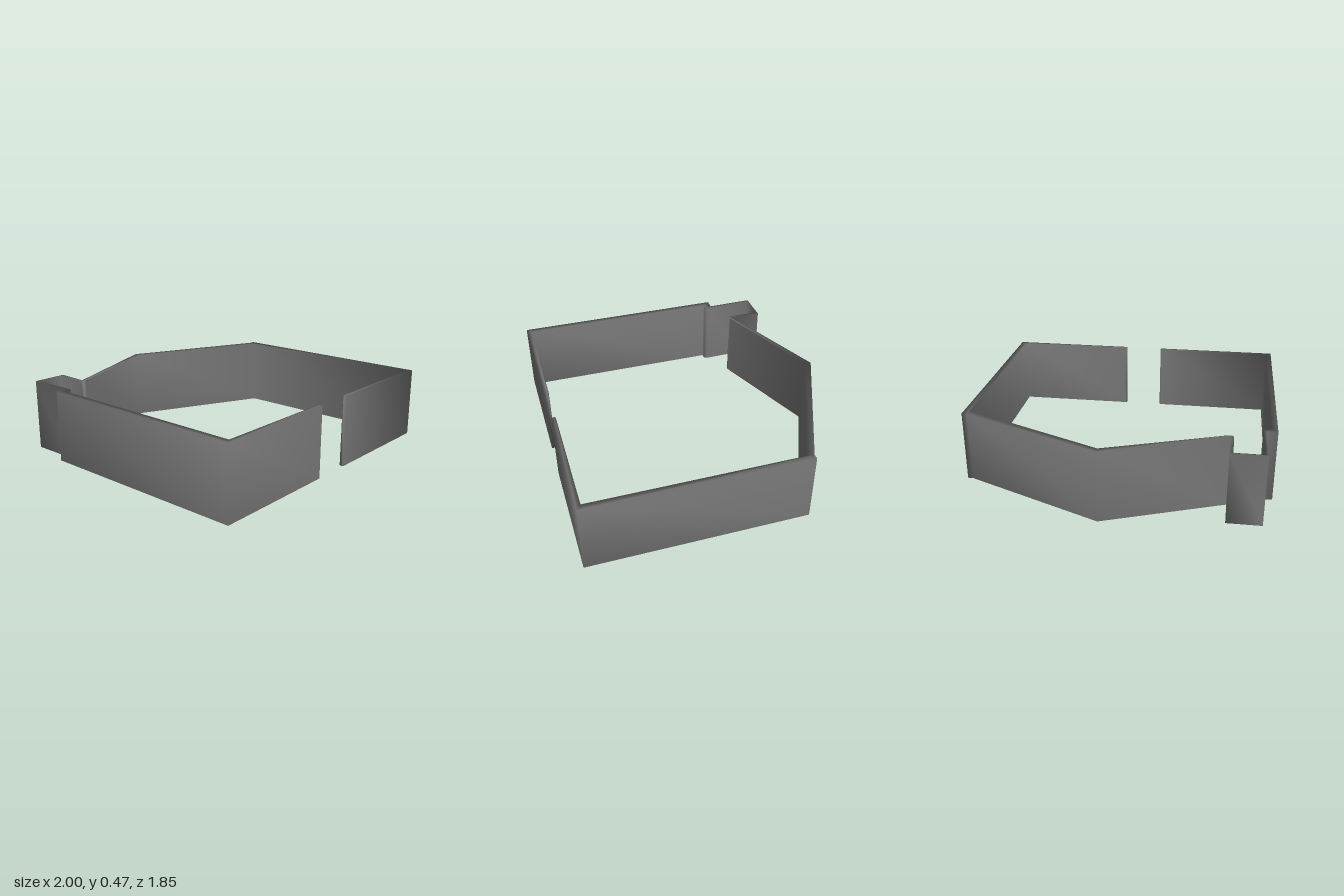
import * as THREE from 'three';
import { mergeVertices } from 'three/addons/utils/BufferGeometryUtils.js';

const HEIGHT = 0.47;

// Outer face in plan (x, z), from the right-hand door jamb round the back to the left-hand one
const outerFace = [
  [-0.137, 0.927], [-1, 0.927], [-1, -0.52], [-0.93, -0.52],
  [-0.935, -0.835], [-0.712, -0.835], [-0.714, -0.62], // alcove
  [0.05, -0.927], [0.965, -0.52], // gabled back
  [1, -0.52], [1, 0.927], [0.132, 0.927],
];

// Inner face, walked back the other way, with bevelled jambs and alcove corners
const innerFace = [
  [0.132, 0.905], [0.14, 0.897], [0.96, 0.897], [0.96, -0.468],
  [0.05, -0.882],
  [-0.7, -0.598], [-0.72, -0.598], [-0.735, -0.612], [-0.733, -0.825], // alcove
  [-0.917, -0.825], [-0.91, -0.49], [-0.925, -0.468],
  [-0.96, -0.468], [-0.96, 0.897], [-0.145, 0.897], [-0.137, 0.905],
];

// Raises a plan outline into an upright solid on y = 0, shaded smoothly across its corners
function raisePlan(points, height) {
  const shape = new THREE.Shape(points.map(([x, z]) => new THREE.Vector2(x, -z)));
  const solid = new THREE.ExtrudeGeometry(shape, { depth: height, bevelEnabled: false });
  solid.rotateX(-Math.PI / 2);
  solid.deleteAttribute('normal');
  solid.deleteAttribute('uv');
  const geometry = mergeVertices(solid);
  geometry.computeVertexNormals();
  return geometry;
}

export function createModel() {
  const model = new THREE.Group();
  model.name = 'roomWalls';

  // One continuous wall, open at the front doorway
  const material = new THREE.MeshStandardMaterial({ color: 0x787878 });
  const wall = new THREE.Mesh(raisePlan([...outerFace, ...innerFace], HEIGHT), material);
  wall.name = 'perimeterWall';
  model.add(wall);

  return model;
}
